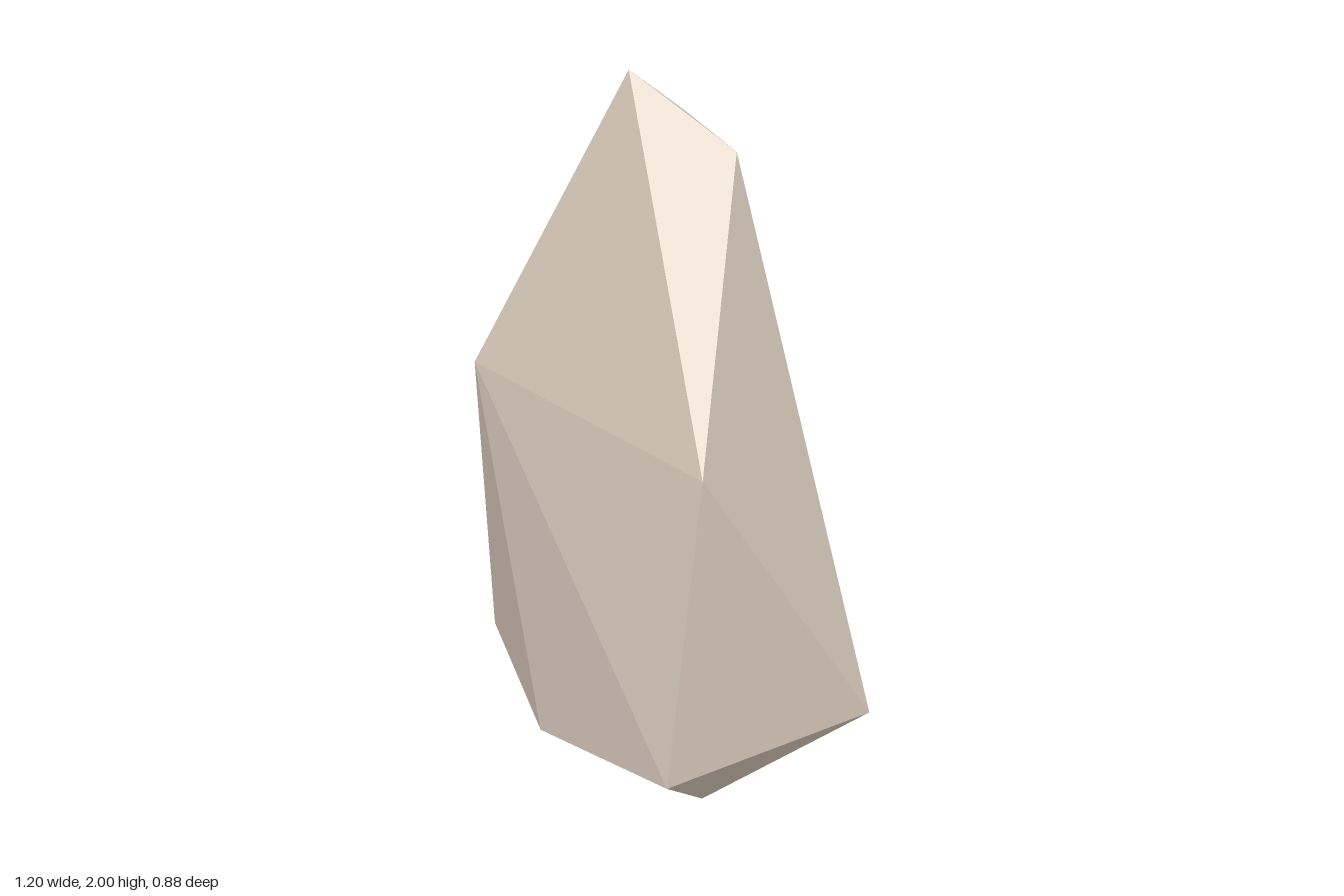
import * as THREE from 'three';
import { ConvexGeometry } from 'three/addons/geometries/ConvexGeometry.js';

export function createModel() {
  const group = new THREE.Group();
  group.name = 'rock';

  // Corners of the faceted stone, ring by ring from the tip down
  const tip = [[-0.07, 2, 0.035], [0.21, 1.8, -0.08], [-0.11, 1.84, -0.235]];
  const shoulder = [[-0.5, 1.125, 0.22], [0.445, 1.045, 0.335], [-0.43, 1.17, -0.415], [0.05, 0.85, -0.425]];
  const belly = [[0.6, 0.2, -0.23], [0.415, 0.175, 0.44], [-0.19, 0.08, 0.3], [-0.6, 0.21, 0.07], [-0.36, 0.065, -0.445]];
  const base = [[0.34, 0.01, 0.2], [0.25, 0.01, -0.26], [-0.4, 0, 0.02]];

  // The stone is the convex hull of those corners
  const points = [...tip, ...shoulder, ...belly, ...base].map((p) => new THREE.Vector3(...p));
  const stone = new THREE.Mesh(
    new ConvexGeometry(points),
    new THREE.MeshStandardMaterial({ color: 0xd6c8ba, flatShading: true })
  );
  stone.name = 'stone';
  group.add(stone);
  return group;
}
